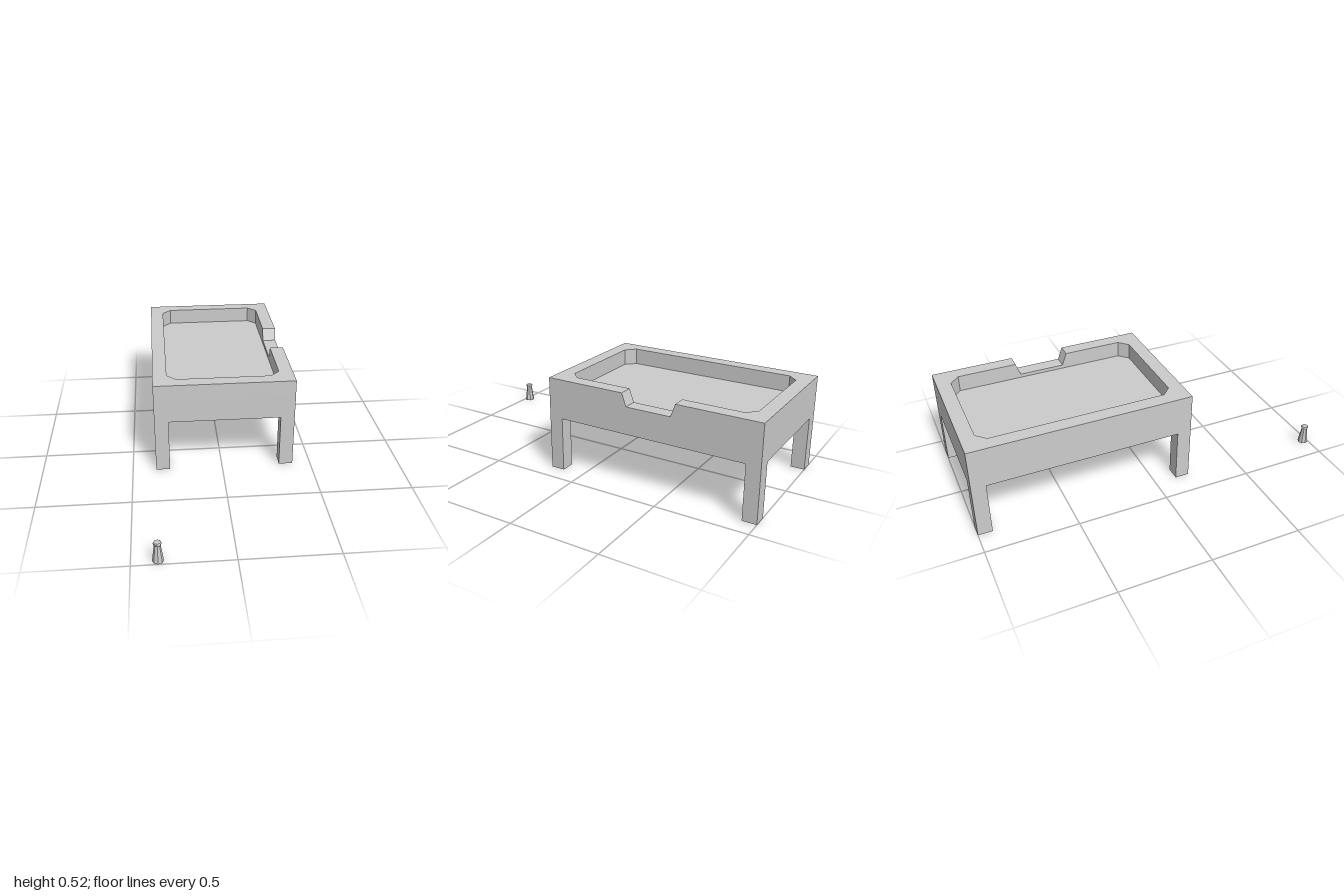
import * as THREE from 'three';

const X0 = -0.37, X1 = 0.4, Z0 = -1, Z1 = 0.2; // table footprint
const W = 0.077; // rim and leg thickness
const UNDER = 0.3, FLOOR = 0.43, NOTCH = 0.45, TOP = 0.52;
const NOTCH_BACK = -0.55, NOTCH_FRONT = -0.25, SLOPE = 0.025;

const material = new THREE.MeshStandardMaterial({ color: 0xcccccc, flatShading: true });

function add(group, name, geometry, x = 0, y = 0, z = 0) {
  const mesh = new THREE.Mesh(geometry, material);
  mesh.name = name;
  mesh.position.set(x, y, z);
  group.add(mesh);
  return mesh;
}

// Plan outlines are [x, z]; the extrusion rises from y0 to y1
const plan = (points) => points.map(([x, z]) => new THREE.Vector2(x, -z));
function rise(shape, y0, y1) {
  return new THREE.ExtrudeGeometry(shape, { depth: y1 - y0, bevelEnabled: false })
    .rotateX(-Math.PI / 2).translate(0, y0, 0);
}

export function createModel() {
  const model = new THREE.Group();
  model.name = 'tableAndPeg';
  const table = new THREE.Group();
  table.name = 'trayTable';
  model.add(table);

  const cx = (X0 + X1) / 2, cz = (Z0 + Z1) / 2;
  const ix0 = X0 + W, ix1 = X1 - W, iz0 = Z0 + W, iz1 = Z1 - W, c = 0.05;

  // Recess outline with clipped corners, from the notch's back edge round to its front edge
  const recess = [
    [ix1, iz0 + c], [ix1 - c, iz0], [ix0 + c, iz0], [ix0, iz0 + c],
    [ix0, iz1 - c], [ix0 + c, iz1], [ix1 - c, iz1], [ix1, iz1 - c],
  ];
  const outer = [[X1, Z1], [X0, Z1], [X0, Z0], [X1, Z0]];

  // Solid slab under the recess floor
  add(table, 'tableBed', new THREE.BoxGeometry(X1 - X0, FLOOR - UNDER, Z1 - Z0),
    cx, (FLOOR + UNDER) / 2, cz);

  // Closed ring up to the bottom of the notch
  const ring = new THREE.Shape(plan(outer));
  ring.holes.push(new THREE.Path(plan(recess)));
  add(table, 'lowerRim', rise(ring, FLOOR, NOTCH));

  // Upper rim, open at the notch; the cut ends slope inwards at the bottom
  const open = new THREE.Shape(plan([
    [X1, NOTCH_FRONT], ...outer, [X1, NOTCH_BACK],
    [ix1, NOTCH_BACK], ...recess, [ix1, NOTCH_FRONT],
  ]));
  const upper = rise(open, NOTCH, TOP);
  const pos = upper.attributes.position;
  for (let i = 0; i < pos.count; i++) {
    if (pos.getY(i) > NOTCH + 0.01) continue;
    const z = pos.getZ(i);
    if (Math.abs(z - NOTCH_FRONT) < 1e-4) pos.setZ(i, z - SLOPE);
    if (Math.abs(z - NOTCH_BACK) < 1e-4) pos.setZ(i, z + SLOPE);
  }
  upper.computeVertexNormals();
  add(table, 'upperRim', upper);

  // Square corner legs
  for (const x of [X0 + W / 2, X1 - W / 2]) {
    for (const z of [Z0 + W / 2, Z1 - W / 2]) {
      add(table, 'leg', new THREE.BoxGeometry(W, UNDER, W), x, UNDER / 2, z);
    }
  }

  // Eight-sided tapered peg with a collar on top
  const profile = [
    [0, 0], [0.028, 0], [0.0155, 0.095], [0.0185, 0.095], [0.0205, 0.099],
    [0.0205, 0.104], [0.0175, 0.109], [0, 0.109],
  ].map(([r, y]) => new THREE.Vector2(r, y));
  add(model, 'taperedPeg', new THREE.LatheGeometry(profile, 8), -0.372, 0, 0.972);

  return model;
}
